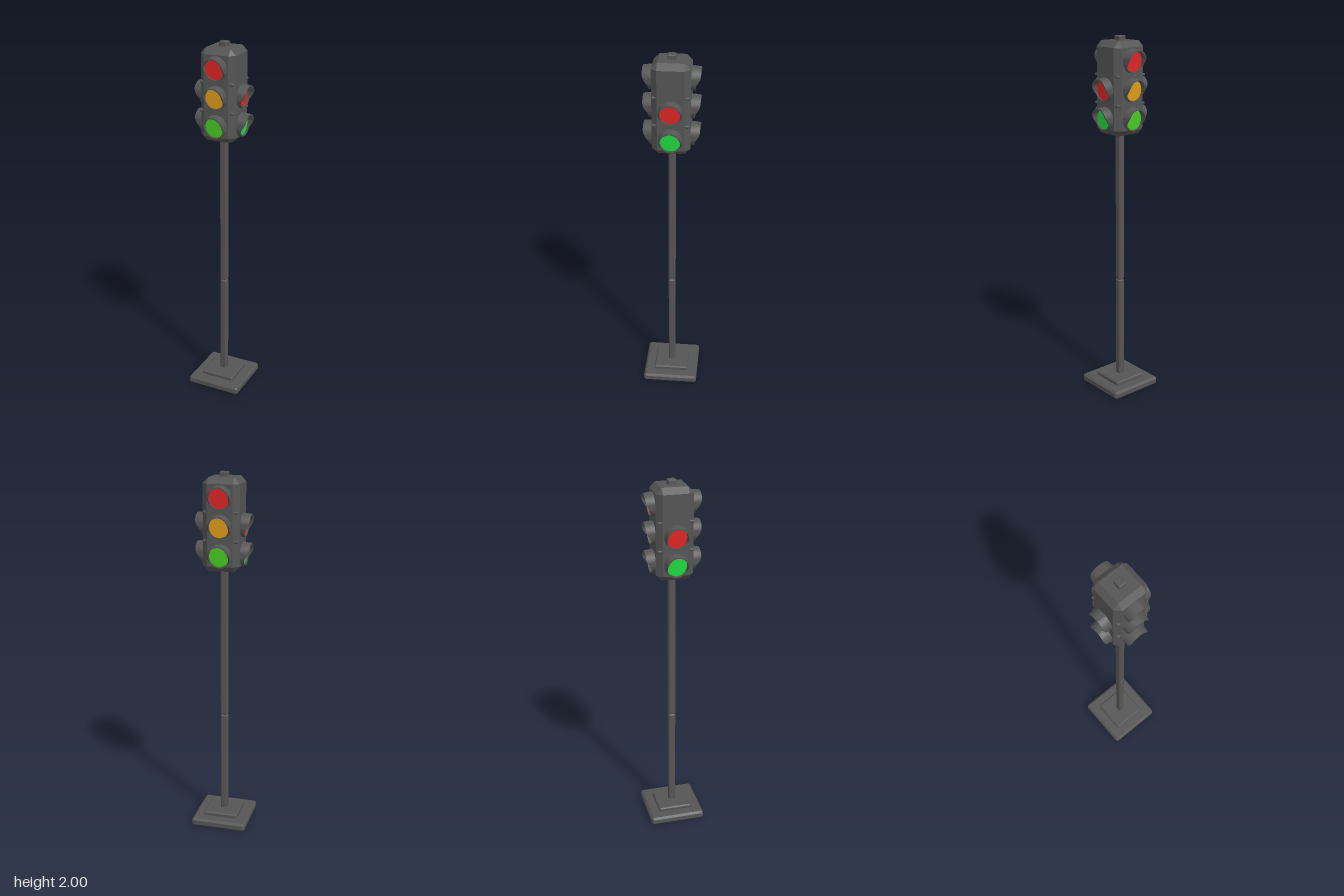
import * as THREE from 'three';
import { toCreasedNormals } from 'three/addons/utils/BufferGeometryUtils.js';
import { ConvexGeometry } from 'three/addons/geometries/ConvexGeometry.js';

const paint = (name, color) => Object.assign(new THREE.MeshStandardMaterial({ color }), { name });

// Box with every edge chamfered by c, standing between y0 and y1
function chamferBox(half, y0, y1, c) {
  const h = (y1 - y0) / 2;
  const pts = [];
  for (const sx of [-1, 1]) for (const sy of [-1, 1]) for (const sz of [-1, 1]) {
    for (let full = 0; full < 3; full++) {
      const p = [half, h, half].map((v, i) => (i === full ? v : v - c));
      pts.push(new THREE.Vector3(p[0] * sx, p[1] * sy, p[2] * sz));
    }
  }
  return new ConvexGeometry(pts).translate(0, (y0 + y1) / 2, 0);
}

// Round visor facing +z: a tube whose front is cut back towards the bottom
function visorGeometry() {
  const n = 40, pos = [], idx = [];
  for (let i = 0; i < n; i++) {
    const a = (i / n) * Math.PI * 2;
    const cx = Math.cos(a), cy = Math.sin(a);
    const t = THREE.MathUtils.clamp((cy * 0.061 + 0.03) / 0.065, 0, 1);
    const tip = 0.117 + 0.03 * Math.sin(t * Math.PI / 2);
    const taper = 1 - (tip - 0.117) * 2;
    const section = [[0.063, 0.095], [0.062, 0.117], [0.062 * taper, tip],
      [0.055 * taper, tip], [0.055, 0.117], [0.055, 0.095]];
    for (const [r, z] of section) pos.push(cx * r, cy * r, z);
    for (let j = 0; j < 5; j++) {
      const p = i * 6 + j, q = ((i + 1) % n) * 6 + j;
      idx.push(p, q, p + 1, q, q + 1, p + 1);
    }
  }
  const g = new THREE.BufferGeometry();
  g.setAttribute('position', new THREE.Float32BufferAttribute(pos, 3));
  g.setIndex(idx);
  return toCreasedNormals(g, 0.6);
}

export function createModel() {
  const model = new THREE.Group();
  model.name = 'trafficLight';
  const grey = paint('darkGrey', 0x555555);
  const red = paint('red', 0xdc2424);
  const amber = paint('amber', 0xdc9a18);
  const green = paint('green', 0x20d840);
  const leafGreen = paint('leafGreen', 0x46c822);

  const add = (parent, name, geometry, material = grey) => {
    const mesh = new THREE.Mesh(geometry, material);
    mesh.name = name;
    parent.add(mesh);
    return mesh;
  };

  // Stand and two-piece pole
  add(model, 'basePlate', chamferBox(0.156, 0, 0.046, 0.011));
  add(model, 'baseStep', chamferBox(0.097, 0.03, 0.068, 0.006));
  add(model, 'lowerPole', chamferBox(0.019, 0.05, 0.65, 0.006));
  add(model, 'upperPole', chamferBox(0.019, 0.65, 1.51, 0.006));

  // Signal head with seam bands at the corners, and the cap on top
  add(model, 'signalHead', chamferBox(0.099, 1.487, 1.975, 0.03));
  for (const y of [1.65, 1.8]) add(model, 'seamBand', chamferBox(0.095, y - 0.007, y + 0.007, 0.004));
  add(model, 'topCap', chamferBox(0.022, 1.95, 2, 0.004));

  // Lamps: three on the front and back, two on the sides
  const visor = visorGeometry();
  const lens = new THREE.CircleGeometry(0.0555, 40);
  const levels = [1.877, 1.727, 1.575];
  const frontLamps = [red, amber, leafGreen];
  const sideLamps = [null, red, green];
  ['front', 'left', 'back', 'right'].forEach((side, k) => {
    const face = new THREE.Group();
    face.name = side + 'Lamps';
    face.rotation.y = k * Math.PI / 2;
    (k % 2 ? sideLamps : frontLamps).forEach((material, i) => {
      if (!material) return;
      add(face, 'visor', visor).position.y = levels[i];
      add(face, 'lens', lens, material).position.set(0, levels[i], 0.108);
    });
    model.add(face);
  });
  return model;
}
